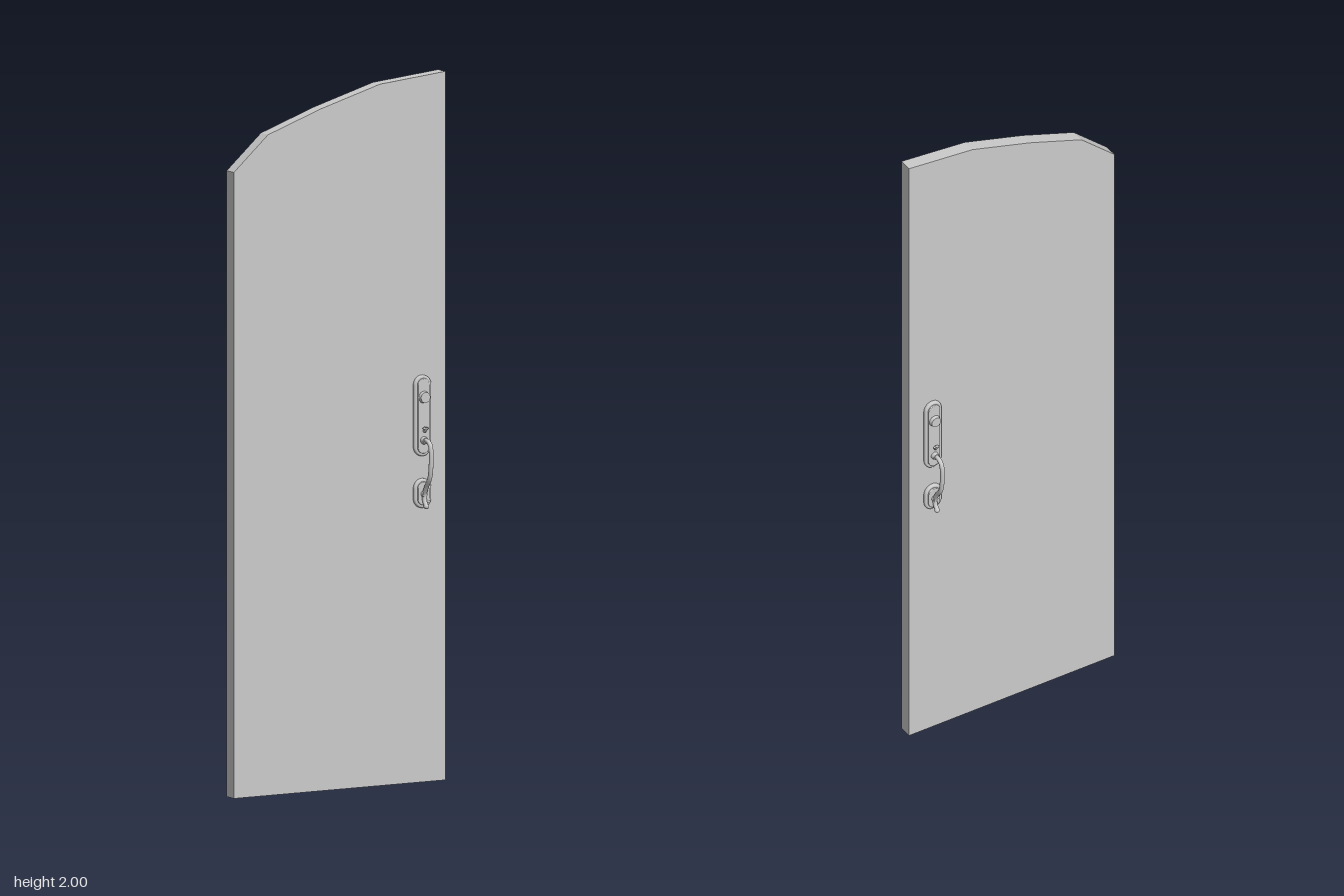
import * as THREE from 'three';

const grey = new THREE.MeshStandardMaterial({ color: 0xcccccc });

function add(parent, name, geometry, x = 0, y = 0, z = 0) {
  const mesh = new THREE.Mesh(geometry, grey);
  mesh.name = name;
  mesh.position.set(x, y, z);
  parent.add(mesh);
  return mesh;
}

// Upright rounded slot: half circles of radius r centred at y0 and y1
function slot(r, y0, y1) {
  const s = new THREE.Shape();
  s.absarc(0, y1, r, 0, Math.PI);
  s.absarc(0, y0, r, Math.PI, Math.PI * 2);
  s.closePath();
  return s;
}

// Mounting plate with a bevelled rim; r is its outer radius
function plate(r, y0, y1, depth, bevel) {
  return new THREE.ExtrudeGeometry(slot(r - bevel, y0, y1), {
    depth: depth - bevel, bevelEnabled: true, bevelThickness: bevel,
    bevelSize: bevel, bevelSegments: 3, curveSegments: 16,
  });
}

// Round peg pointing out of the door
function peg(rBack, rFront, length) {
  return new THREE.CylinderGeometry(rFront, rBack, length, 20).rotateX(Math.PI / 2);
}

function tube(points, radius) {
  const path = new THREE.CatmullRomCurve3(points.map(([y, z]) => new THREE.Vector3(0, y, z)));
  return new THREE.TubeGeometry(path, 40, radius, 12);
}

// Handle set for one face, with z = 0 at the middle of the door
function handleSet(name) {
  const g = new THREE.Group();
  g.name = name;

  // Upper plate with a raised panel and the lock cylinder
  add(g, 'upperPlate', plate(0.0275, 0.948, 1.122, 0.009, 0.005), 0, 0, 0.02);
  add(g, 'upperPanel', plate(0.019, 0.948, 1.122, 0.004, 0.002), 0, 0, 0.029);
  add(g, 'lockCylinder', peg(0.018, 0.015, 0.014), 0, 1.088, 0.036);

  // Lower oval rosette
  add(g, 'lowerPlate', plate(0.0275, 0.802, 0.83, 0.009, 0.005), 0, 0, 0.02);
  add(g, 'lowerPanel', plate(0.019, 0.802, 0.83, 0.004, 0.002), 0, 0, 0.029);

  // Bowed grip with its mounts
  add(g, 'gripMount', peg(0.012, 0.009, 0.014), 0, 0.966, 0.037);
  add(g, 'grip', tube([[0.966, 0.03], [0.966, 0.055], [0.955, 0.069], [0.91, 0.073],
    [0.865, 0.066], [0.835, 0.046], [0.813, 0.035], [0.795, 0.037], [0.782, 0.046]], 0.0065));
  add(g, 'gripTip', new THREE.SphereGeometry(0.0075, 14, 10), 0, 0.781, 0.046);
  add(g, 'lowerMount', peg(0.011, 0.008, 0.012), 0, 0.815, 0.034);

  // Thumb latch, curling up at its end
  add(g, 'thumbLatch', tube([[0.995, 0.028], [0.992, 0.036], [0.997, 0.042], [1.006, 0.045]], 0.004));
  const pad = add(g, 'thumbPad', new THREE.SphereGeometry(0.009, 14, 10), 0, 1.001, 0.042);
  pad.scale.set(1, 0.45, 0.6);
  return g;
}

export function createModel() {
  const model = new THREE.Group();
  model.name = 'archedDoor';

  // Door leaf with a faceted half-arch top
  const outline = [[-0.34, 0], [0.34, 0], [0.34, 2], [0.13, 1.98],
    [-0.06, 1.925], [-0.23, 1.865], [-0.34, 1.767]];
  const shape = new THREE.Shape(outline.map(([x, y]) => new THREE.Vector2(x, y)));
  const leaf = new THREE.ExtrudeGeometry(shape, { depth: 0.04, bevelEnabled: false });
  add(model, 'doorLeaf', leaf, 0, 0, -0.02);

  // Matching handles on both faces
  ['frontHandle', 'backHandle'].forEach((name, i) => {
    const handle = handleSet(name);
    handle.position.x = 0.264;
    handle.rotation.y = i * Math.PI;
    model.add(handle);
  });
  return model;
}
